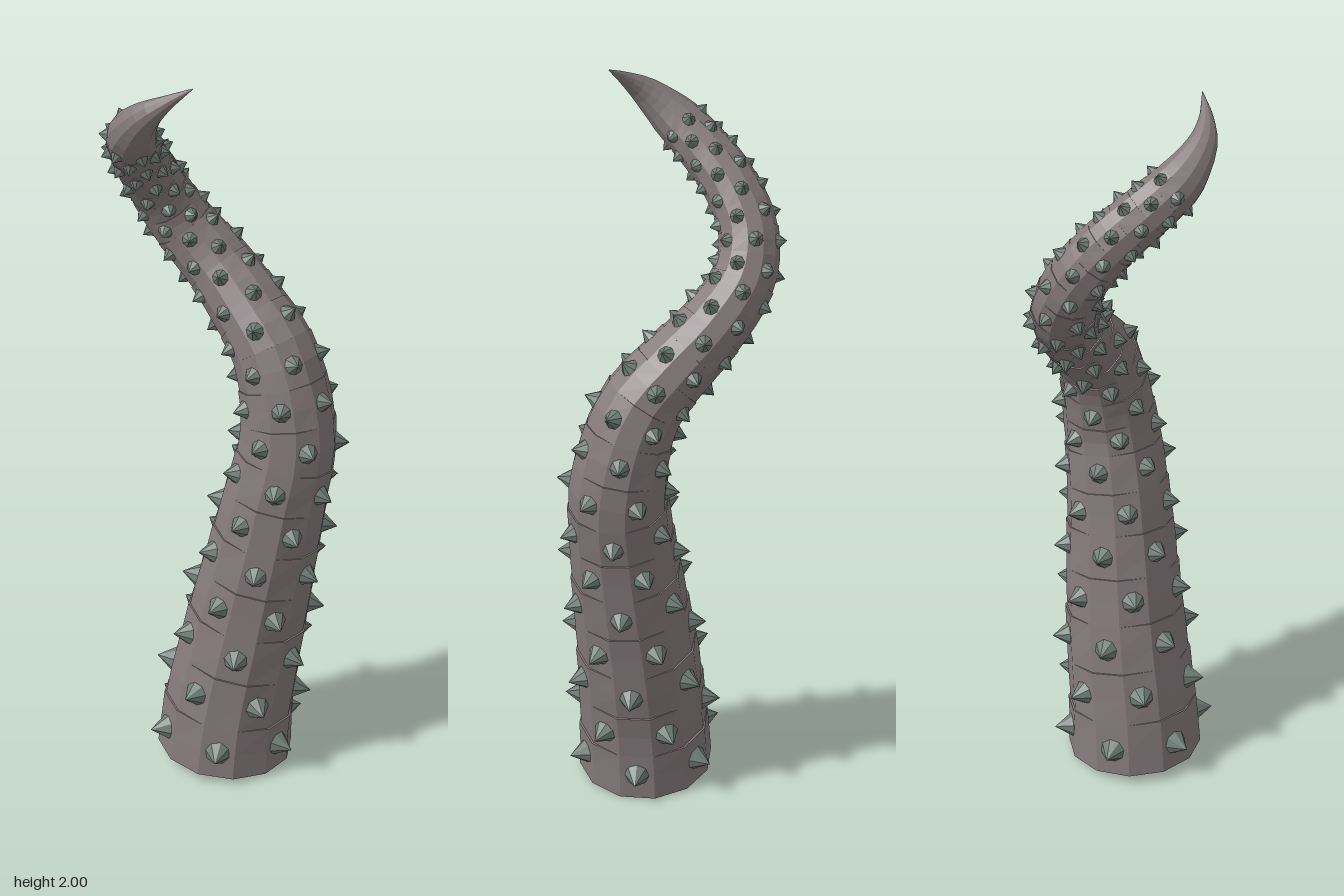
import * as THREE from 'three';
import { mergeGeometries } from 'three/addons/utils/BufferGeometryUtils.js';

const SIDES = 12;
const SPIKES_PER_ROW = 6;

// Centre line of the tentacle: x, y, z, radius
const PATH = [
  [-0.02, 0.013, 0.067, 0.188], [-0.009, 0.15, 0.069, 0.181], [0.035, 0.4, 0.079, 0.168],
  [0.105, 0.8, 0.109, 0.14], [0.14, 1.0, 0.111, 0.128], [0.122, 1.2, 0.057, 0.111],
  [0.083, 1.3, -0.025, 0.1], [0.03, 1.4, -0.12, 0.09], [-0.04, 1.5, -0.187, 0.083],
  [-0.1, 1.6, -0.193, 0.077], [-0.16, 1.7, -0.142, 0.072], [-0.215, 1.79, -0.055, 0.067],
  [-0.24, 1.85, 0.015, 0.06], [-0.232, 1.915, 0.085, 0.038], [-0.195, 1.96, 0.13, 0.018],
  [-0.142, 2.0, 0.165, 0.001],
];

// Walks along the curve, carrying a frame that does not twist
function makeWalker() {
  const curve = new THREE.CatmullRomCurve3(PATH.map(p => new THREE.Vector3(p[0], p[1], p[2])));
  curve.arcLengthDivisions = 600;
  const length = curve.getLength();
  const radiusAt = s => {
    const f = curve.getUtoTmapping(Math.min(s / length, 1)) * (PATH.length - 1);
    const i = Math.min(Math.floor(f), PATH.length - 2);
    return THREE.MathUtils.lerp(PATH[i][3], PATH[i + 1][3], f - i);
  };
  let tangent = curve.getTangentAt(0);
  const normal = new THREE.Vector3(0, 0, 1).addScaledVector(tangent, -tangent.z).normalize();
  const station = s => {
    const u = Math.min(s / length, 1);
    const next = curve.getTangentAt(u);
    normal.applyQuaternion(new THREE.Quaternion().setFromUnitVectors(tangent, next));
    normal.addScaledVector(next, -normal.dot(next)).normalize();
    tangent = next;
    const n = normal.clone();
    const b = new THREE.Vector3().crossVectors(next, n);
    return {
      centre: curve.getPointAt(u), r: radiusAt(s),
      dir: a => n.clone().multiplyScalar(Math.cos(a)).addScaledVector(b, Math.sin(a)),
    };
  };
  return { length, radiusAt, station };
}

// Skin through a list of rings, with a cap at the bottom
function skin(rings) {
  const pos = [], index = [];
  const ringAngle = 2 * Math.PI / SIDES;
  for (const { st, scale } of rings) {
    for (let i = 0; i < SIDES; i++) {
      const p = st.centre.clone().addScaledVector(st.dir((i + 0.5) * ringAngle), st.r * scale(i));
      pos.push(p.x, p.y, p.z);
    }
  }
  for (let k = 0; k < rings.length - 1; k++) {
    for (let i = 0; i < SIDES; i++) {
      const j = (i + 1) % SIDES;
      const a = k * SIDES + i, b = k * SIDES + j;
      index.push(a, b, b + SIDES, a, b + SIDES, a + SIDES);
    }
  }
  for (let i = 1; i < SIDES - 1; i++) index.push(0, i + 1, i);
  const geo = new THREE.BufferGeometry();
  geo.setAttribute('position', new THREE.Float32BufferAttribute(pos, 3));
  geo.setIndex(index);
  geo.computeVertexNormals();
  return geo;
}

// Cone standing on the skin, pointing outwards
function spike(st, angle) {
  const height = 0.006 + st.r * 0.23, sunk = st.r * 0.08;
  const geo = new THREE.ConeGeometry(0.009 + st.r * 0.19, height + sunk, 8);
  geo.translate(0, (height - sunk) / 2, 0);
  const out = st.dir(angle);
  geo.applyQuaternion(new THREE.Quaternion().setFromUnitVectors(new THREE.Vector3(0, 1, 0), out));
  const p = st.centre.clone().addScaledVector(out, st.r * 0.97);
  return geo.translate(p.x, p.y, p.z);
}

export function createModel() {
  const model = new THREE.Group();
  model.name = 'tentacle';
  const { length, radiusAt, station } = makeWalker();
  const rings = [], spikes = [];
  const tipStart = length - 0.265;
  const plain = () => 1;

  // Segments with broken, brick-like lips, each with a staggered row of spikes
  let s = 0;
  for (let row = 0; s < tipStart - 0.02; row++) {
    const step = Math.min(radiusAt(s) * 0.81, tipStart - s);
    const hasLip = (i, r) => (i + 2 * r) % 4 < 2;
    rings.push({ st: station(s), scale: i => (row && hasLip(i, row - 1) ? 0.985 : 1) });
    const mid = station(s + step / 2);
    rings.push({ st: mid, scale: plain });
    const offset = row % 2 ? 0 : Math.PI / SPIKES_PER_ROW;
    for (let i = 0; i < SPIKES_PER_ROW; i++) {
      spikes.push(spike(mid, offset + i * 2 * Math.PI / SPIKES_PER_ROW));
    }
    s += step;
    rings.push({ st: station(s), scale: i => (hasLip(i, row) ? 1.015 : 1) });
  }

  // Bare hooked tip
  const TIP_STEPS = 9;
  for (let i = 1; i <= TIP_STEPS; i++) {
    rings.push({ st: station(s + (length - s) * i / TIP_STEPS), scale: plain });
  }

  const body = new THREE.Mesh(skin(rings),
    new THREE.MeshStandardMaterial({ color: 0x857a7c, flatShading: true }));
  body.name = 'body';
  const thorns = new THREE.Mesh(mergeGeometries(spikes),
    new THREE.MeshStandardMaterial({ color: 0x6f7d77, flatShading: true }));
  thorns.name = 'spikes';
  model.add(body, thorns);
  return model;
}
